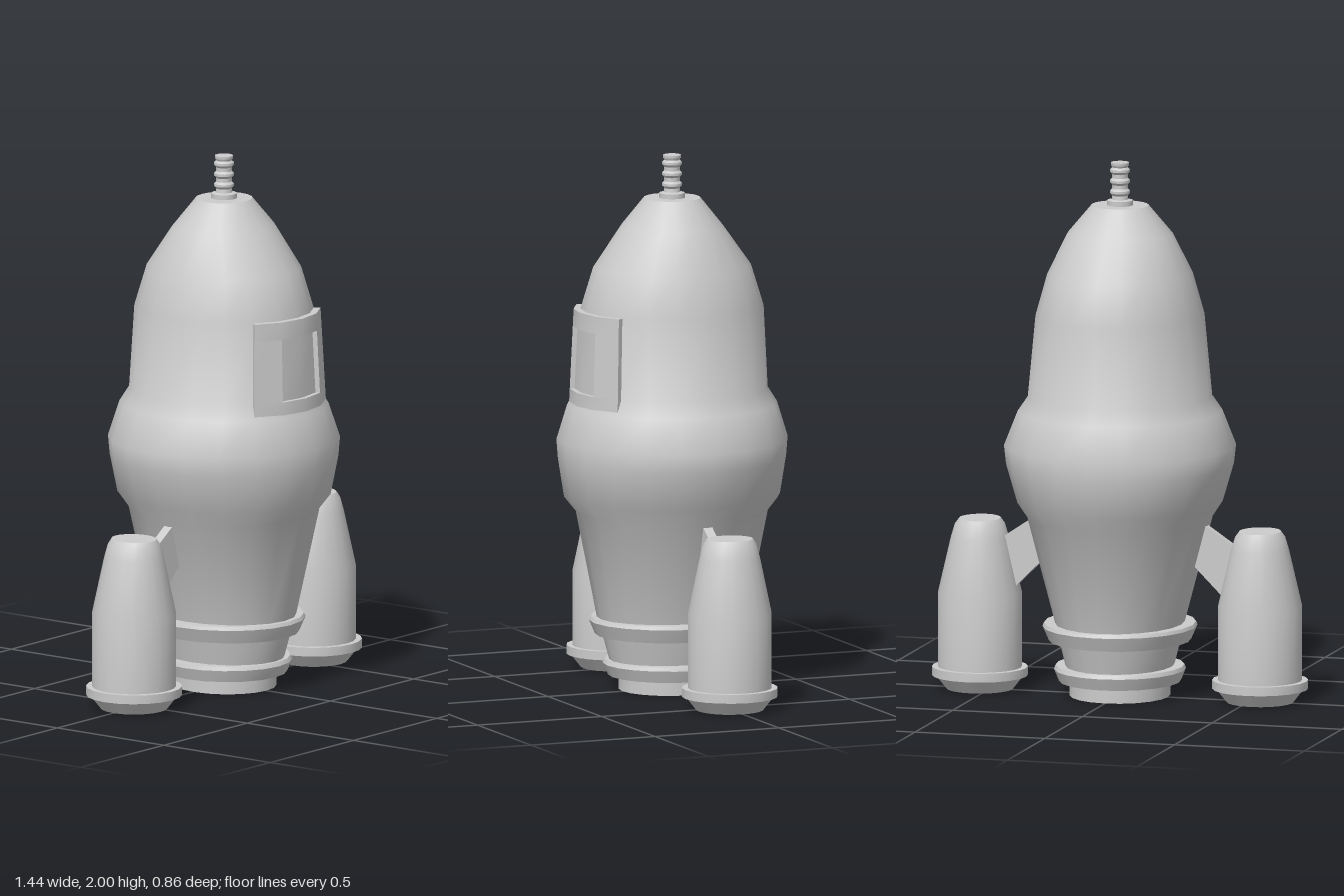
import * as THREE from 'three';
import { toCreasedNormals } from 'three/addons/utils/BufferGeometryUtils.js';

const material = new THREE.MeshStandardMaterial({ color: 0xcccccc });

function add(parent, name, geometry) {
  const mesh = new THREE.Mesh(geometry, material);
  mesh.name = name;
  parent.add(mesh);
  return mesh;
}

function build(positions, index, crease) {
  const g = new THREE.BufferGeometry();
  g.setAttribute('position', new THREE.Float32BufferAttribute(positions, 3));
  g.setIndex(index);
  return toCreasedNormals(g.toNonIndexed(), crease);
}

// Closed solid through elliptical rings [y, rx, rz], listed from bottom to top
function loft(rings, sides = 20, crease = 0.65) {
  const first = rings[0], last = rings[rings.length - 1];
  const all = [[first[0], 0, 0], ...rings, [last[0], 0, 0]];
  const positions = [], index = [];
  for (const [y, rx, rz = rx] of all) {
    for (let j = 0; j < sides; j++) {
      const a = (j / sides) * Math.PI * 2;
      positions.push(Math.sin(a) * rx, y, Math.cos(a) * rz);
    }
  }
  for (let i = 0; i < all.length - 1; i++) {
    for (let j = 0; j < sides; j++) {
      const a = i * sides + j, b = i * sides + (j + 1) % sides;
      if (i > 0) index.push(a, b, b + sides);
      if (i < all.length - 2) index.push(a, b + sides, a + sides);
      else index.pop(), index.pop(), index.pop(), index.push(a, b, b + sides);
    }
  }
  return build(positions, index, crease);
}

// Solid block wrapped round the hull, from step s0 to s1 (18 degrees each)
function curvedBlock(s0, s1, y0, y1, depth) {
  const positions = [], index = [];
  const point = (s, y, inset) => {
    const t = (y - 1.06) / 0.37, a = (s * Math.PI) / 10;
    const rx = 0.366 - 0.03 * t - inset, rz = 0.386 - 0.016 * t - inset;
    positions.push(Math.sin(a) * rx, y, Math.cos(a) * rz);
  };
  for (let s = s0; s <= s1; s++) {
    point(s, y0, depth);
    point(s, y1, depth);
    point(s, y0, 0.06);
    point(s, y1, 0.06);
  }
  const quad = (a, b, c, d) => index.push(a, b, c, a, c, d);
  const n = s1 - s0;
  for (let i = 0; i < n; i++) {
    const p = i * 4, q = p + 4;
    quad(p, q, q + 1, p + 1);         // outside
    quad(q + 2, p + 2, p + 3, q + 3); // inside
    quad(p + 1, q + 1, q + 3, p + 3); // top
    quad(p + 2, q + 2, q, p);         // bottom
  }
  const e = n * 4;
  quad(2, 0, 1, 3);
  quad(e, e + 2, e + 3, e + 1);
  return build(positions, index, 0.65);
}

export function createModel() {
  const rocket = new THREE.Group();
  rocket.name = 'rocket';

  // Hull: tapered tail, wide belt and nose
  add(rocket, 'hull', loft([
    [0.21, 0.22, 0.265], [0.27, 0.235, 0.285], [0.67, 0.342, 0.36], [0.725, 0.378, 0.405],
    [0.87, 0.422, 0.425], [0.94, 0.43, 0.43], [1.07, 0.378, 0.392], [1.125, 0.34, 0.358],
    [1.43, 0.31, 0.345], [1.585, 0.267, 0.297], [1.735, 0.196, 0.188], [1.84, 0.107, 0.105],
  ]));

  // Tail rings, neck and exhaust
  add(rocket, 'upperTailRing', loft([[0.21, 0.262, 0.29], [0.262, 0.285, 0.312], [0.275, 0.28, 0.305]]));
  add(rocket, 'tailNeck', loft([[0.1, 0.195, 0.235], [0.22, 0.225, 0.267]]));
  add(rocket, 'lowerTailRing', loft([[0.055, 0.225, 0.24], [0.1, 0.243, 0.26], [0.115, 0.238, 0.252]]));
  add(rocket, 'exhaust', loft([[0, 0.185, 0.2], [0.07, 0.185, 0.2]]));

  // Window frame around a recessed pane
  const window = new THREE.Group();
  window.name = 'window';
  rocket.add(window);
  add(window, 'frameTop', curvedBlock(-2, 2, 1.365, 1.43, 0));
  add(window, 'frameBottom', curvedBlock(-2, 2, 1.06, 1.13, 0));
  add(window, 'frameLeft', curvedBlock(1, 2, 1.13, 1.365, 0));
  add(window, 'frameRight', curvedBlock(-2, -1, 1.13, 1.365, 0));
  add(window, 'pane', curvedBlock(-1, 1, 1.13, 1.365, 0.018));

  // Ribbed antenna
  const antenna = [[1.835, 0.048], [1.858, 0.048], [1.862, 0.031]];
  for (const y of [1.885, 1.925, 1.965]) {
    antenna.push([y - 0.009, 0.029], [y, 0.037], [y + 0.009, 0.037], [y + 0.017, 0.029]);
  }
  antenna.push([1.99, 0.034], [2, 0.034]);
  add(rocket, 'antenna', loft(antenna, 16));

  // Side boosters, each held by a sloping strut
  for (const [side, label] of [[1, 'left'], [-1, 'right']]) {
    const booster = new THREE.Group();
    booster.name = label + 'Booster';
    booster.position.x = side * 0.54;
    rocket.add(booster);
    add(booster, 'boosterBody', loft([
      [0.06, 0.156], [0.36, 0.156], [0.57, 0.107, 0.113], [0.62, 0.092, 0.1], [0.64, 0.077, 0.088],
    ]));
    add(booster, 'boosterFlange', loft([[0.05, 0.178], [0.083, 0.178]]));
    add(booster, 'boosterNozzle', loft([[0, 0.125], [0.055, 0.168]]));

    const corners = [[0.27, 0.695], [0.26, 0.53], [0.42, 0.37], [0.46, 0.567]];
    const shape = new THREE.Shape(corners.map(([x, y]) => new THREE.Vector2(side * x, y)));
    const strut = new THREE.ExtrudeGeometry(shape, { depth: 0.036, bevelEnabled: false });
    strut.translate(0, 0, -0.018);
    add(rocket, label + 'Strut', strut);
  }
  return rocket;
}
